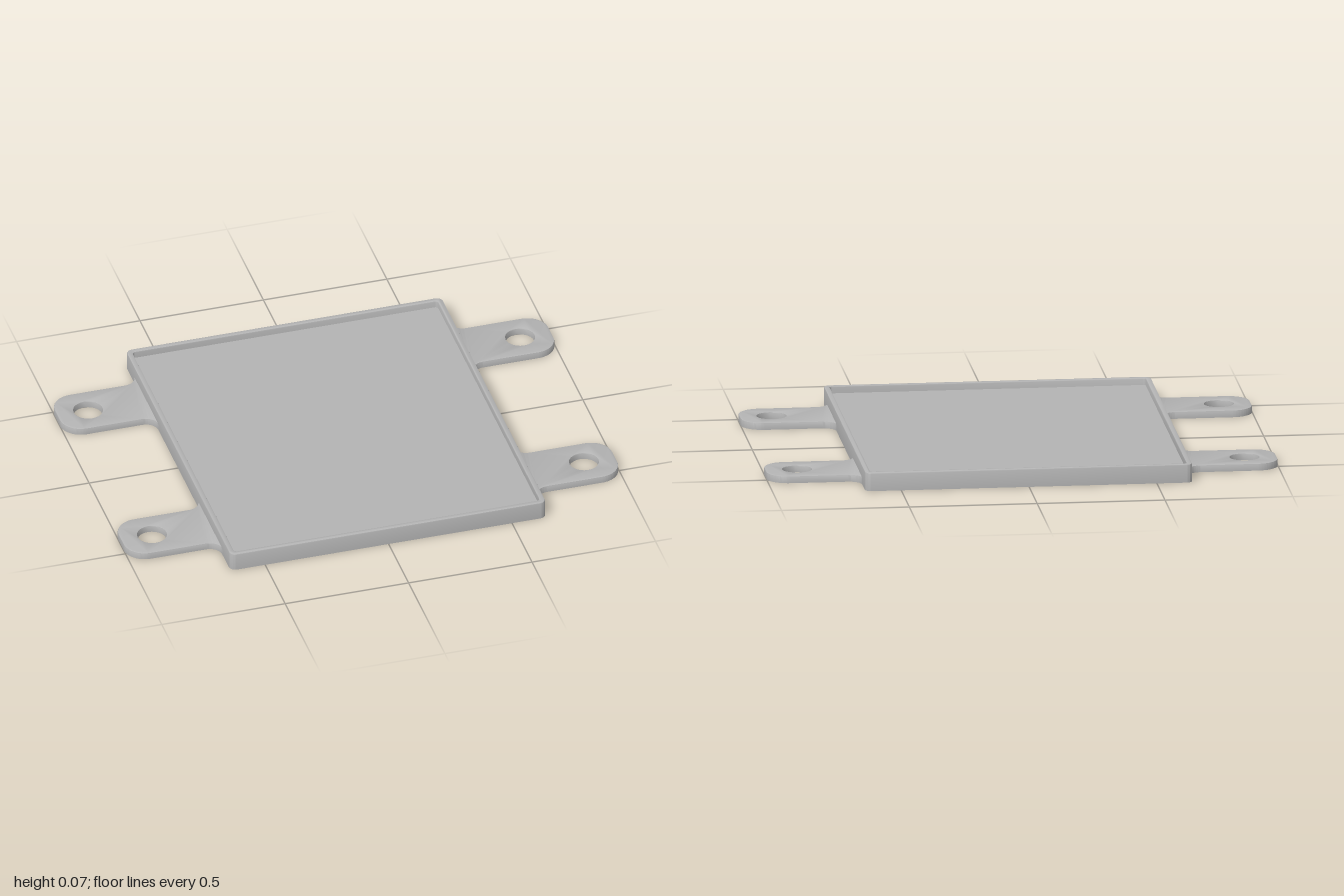
import * as THREE from 'three';
import { toCreasedNormals } from 'three/addons/utils/BufferGeometryUtils.js';

const HALF_X = 0.64, HALF_Z = 0.725, HEIGHT = 0.073;
const RIM = 0.022, FLOOR = 0.045;
const TAB_Z = 0.44, TAB_HALF = 0.12, TAB_HEIGHT = 0.028;
const BEVEL = 0.005;

// Rounded rectangle centred on the origin
function roundedRect(hx, hz, r, Type = THREE.Shape) {
  const s = new Type();
  s.absarc(hx - r, hz - r, r, 0, Math.PI / 2);
  s.absarc(-hx + r, hz - r, r, Math.PI / 2, Math.PI);
  s.absarc(-hx + r, -hz + r, r, Math.PI, Math.PI * 1.5);
  s.absarc(hx - r, -hz + r, r, Math.PI * 1.5, Math.PI * 2);
  s.closePath();
  return s;
}

function circleHole(x, y, r) {
  const p = new THREE.Path();
  p.absarc(x, y, r, 0, Math.PI * 2, true);
  return p;
}

// Upright extrusion with a softened top edge and a flat, sharp underside
function slab(shape, height) {
  const g = new THREE.ExtrudeGeometry(shape, {
    depth: height - BEVEL, bevelEnabled: true, bevelThickness: BEVEL,
    bevelSize: BEVEL, bevelOffset: -BEVEL, bevelSegments: 2, curveSegments: 12,
  });
  const p = g.attributes.position;
  for (let i = 0; i < p.count; i++) p.setZ(i, Math.max(0, p.getZ(i)));
  g.rotateX(-Math.PI / 2);
  return toCreasedNormals(g, 0.6);
}

// Mounting tab pointing to +x, with filleted root and rounded end
function tabShape() {
  const w = TAB_HALF, f = 0.05, r = 0.085, root = HALF_X - 0.012;
  const s = new THREE.Shape();
  s.moveTo(root, -w - f);
  s.lineTo(HALF_X, -w - f);
  s.absarc(HALF_X + f, -w - f, f, Math.PI, Math.PI / 2, true);
  s.absarc(1 - r, -w + r, r, -Math.PI / 2, 0, false);
  s.absarc(1 - r, w - r, r, 0, Math.PI / 2, false);
  s.absarc(HALF_X + f, w + f, f, -Math.PI / 2, -Math.PI, true);
  s.lineTo(root, w + f);
  s.closePath();
  s.holes.push(circleHole(0.875, 0, 0.057));
  return s;
}

export function createModel() {
  const model = new THREE.Group();
  model.name = 'mountingTray';
  const grey = new THREE.MeshStandardMaterial({ color: 0xb3b3b3 });
  grey.name = 'grey';

  const add = (name, geometry, x = 0, y = 0, z = 0) => {
    const mesh = new THREE.Mesh(geometry, grey);
    mesh.name = name;
    mesh.position.set(x, y, z);
    model.add(mesh);
    return mesh;
  };

  // Raised rim around the tray
  const rim = roundedRect(HALF_X, HALF_Z, 0.026);
  rim.holes.push(roundedRect(HALF_X - RIM, HALF_Z - RIM, 0.012, THREE.Path));
  add('rim', slab(rim, HEIGHT));

  // Recessed floor
  const inner = [HALF_X - RIM + 0.002, HALF_Z - RIM + 0.002, 0.012];
  add('floor', new THREE.ShapeGeometry(roundedRect(...inner)).rotateX(-Math.PI / 2), 0, FLOOR, 0);

  // Underside with four blind pockets
  const under = roundedRect(...inner);
  const pocket = toCreasedNormals(new THREE.LatheGeometry([
    new THREE.Vector2(0, 0.034), new THREE.Vector2(0.043, 0.034), new THREE.Vector2(0.043, 0),
  ], 32), 0.6);
  const tab = slab(tabShape(), TAB_HEIGHT);
  for (const sx of [-1, 1]) {
    for (const sz of [-1, 1]) {
      under.holes.push(circleHole(sx * 0.557, sz * 0.478, 0.043));
      add('pocket', pocket, sx * 0.557, 0, sz * 0.478);
      add('mountingTab', tab, 0, 0, sz * TAB_Z).rotation.y = sx < 0 ? Math.PI : 0;
    }
  }
  add('underside', new THREE.ShapeGeometry(under, 16).rotateX(Math.PI / 2));

  return model;
}
